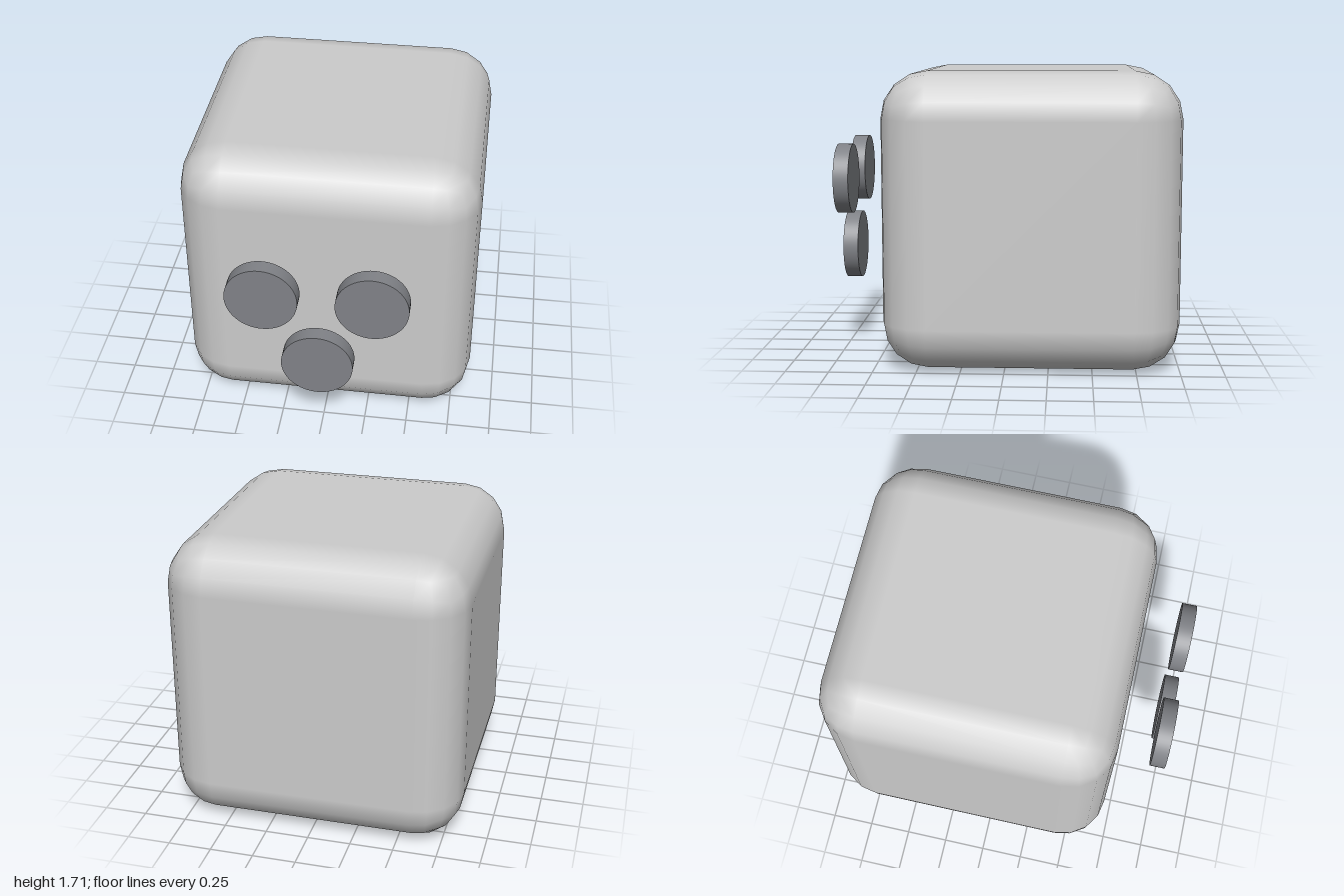
import * as THREE from 'three';

// Cube with rounded edges: a gridded box whose outer cells are wrapped onto quarter arcs
function roundedCube(half, radius) {
  const geo = new THREE.BoxGeometry(2, 2, 2, 5, 5, 5);
  const pos = geo.attributes.position;
  const normal = geo.attributes.normal;
  const core = half - radius;
  const p = new THREE.Vector3();
  const toSlope = (v) => Math.sign(v) * Math.tan(((Math.abs(v) - 0.2) / 0.8) * Math.PI / 4);
  for (let i = 0; i < pos.count; i++) {
    p.fromBufferAttribute(pos, i);
    const d = new THREE.Vector3(toSlope(p.x), toSlope(p.y), toSlope(p.z)).normalize();
    normal.setXYZ(i, d.x, d.y, d.z);
    pos.setXYZ(
      i,
      Math.sign(p.x) * core + d.x * radius,
      Math.sign(p.y) * core + d.y * radius,
      Math.sign(p.z) * core + d.z * radius
    );
  }
  return geo;
}

export function createModel() {
  const model = new THREE.Group();
  model.name = 'cubeWithDiscs';

  // Rounded body
  const half = 0.853;
  const body = new THREE.Mesh(
    roundedCube(half, 0.27),
    new THREE.MeshStandardMaterial({ color: 0xcccccc })
  );
  body.name = 'body';
  body.position.set(0, half, half - 1);
  model.add(body);

  // Three discs floating in front of the face
  const discGeo = new THREE.CylinderGeometry(0.204, 0.204, 0.088, 64).rotateX(Math.PI / 2);
  const discMaterial = new THREE.MeshStandardMaterial({ color: 0x808287 });
  const discs = [
    ['leftDisc', 0.307, 1.061],
    ['rightDisc', -0.307, 1.061],
    ['lowerDisc', 0, 0.617],
  ];
  for (const [name, x, y] of discs) {
    const disc = new THREE.Mesh(discGeo, discMaterial);
    disc.name = name;
    disc.position.set(x, y, 0.956);
    model.add(disc);
  }

  return model;
}
